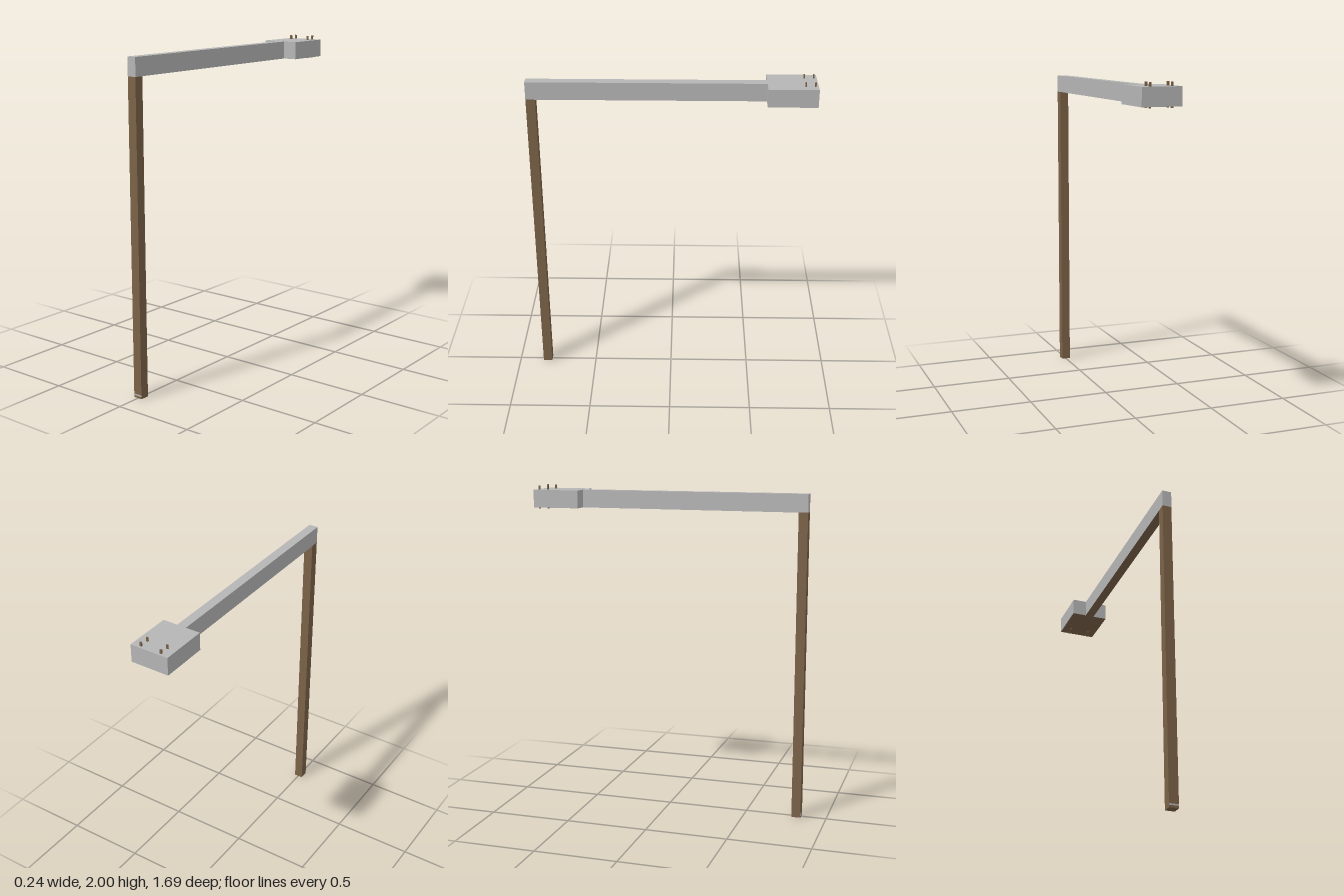
import * as THREE from 'three';

export function createModel() {
  const model = new THREE.Group();
  const mat = (name, color) => {
    const m = new THREE.MeshStandardMaterial({ color });
    m.name = name;
    return m;
  };
  const grey = mat('paintedGrey', 0xb5b5b5);
  const wood = mat('brownWood', 0x7b6248);

  // Box given by its minimum and maximum corners
  const box = (name, material, [x0, y0, z0], [x1, y1, z1]) => {
    const geo = new THREE.BoxGeometry(x1 - x0, y1 - y0, z1 - z0);
    const mesh = new THREE.Mesh(geo, material);
    mesh.position.set((x0 + x1) / 2, (y0 + y1) / 2, (z0 + z1) / 2);
    mesh.name = name;
    model.add(mesh);
    return mesh;
  };

  // Grey sides and top, brown underside
  const greyOverWood = [grey, grey, grey, wood, grey, grey];

  // Upright post with a pale band near the foot
  box('post', wood, [-0.029, 0, 0.79], [0.027, 1.87, 0.846]);
  box('footBand', grey, [-0.029, 0.013, 0.845], [0.027, 0.022, 0.847]);

  // Horizontal arm and the wide block at its end
  box('arm', greyOverWood, [-0.029, 1.868, -0.557], [0.028, 1.976, 0.846]);
  box('endBlock', greyOverWood, [-0.119, 1.868, -0.846], [0.118, 1.976, -0.556]);

  // Four thin pegs passing through the block
  for (const x of [-0.066, 0.063]) {
    for (const z of [-0.828, -0.773]) {
      box('peg', wood, [x - 0.006, 1.859, z - 0.004], [x + 0.006, 2, z + 0.004]);
    }
  }
  return model;
}
